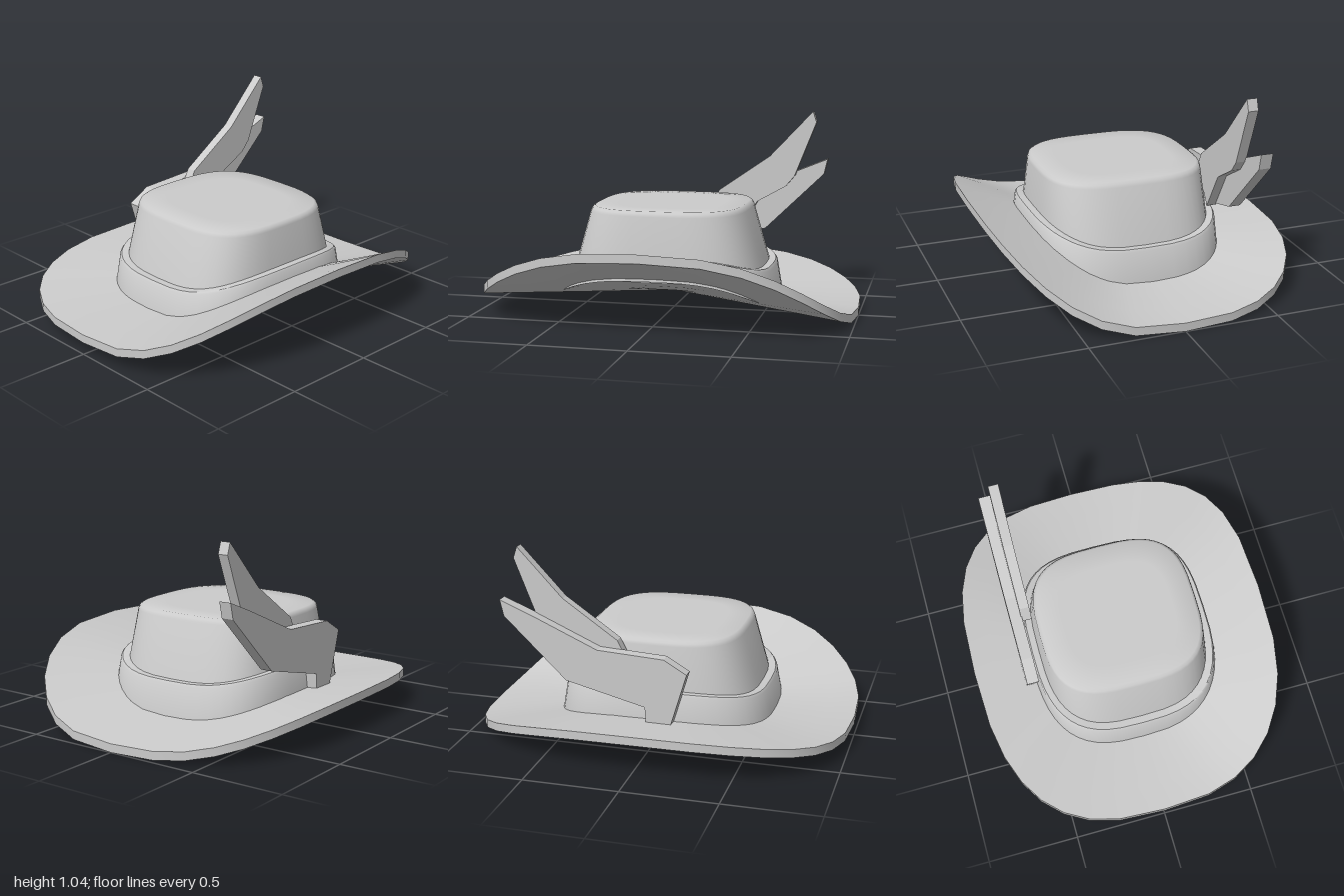
import * as THREE from 'three';
import { toCreasedNormals } from 'three/addons/utils/BufferGeometryUtils.js';

const material = new THREE.MeshStandardMaterial({ color: 0xcccccc, roughness: 0.8 });

// Rounded-square outline: unit x and z at an angle
function outline(angle, power) {
  const round = (v) => Math.sign(v) * Math.abs(v) ** (2 / power);
  return [round(Math.cos(angle)), round(Math.sin(angle))];
}

// Blend a height between the four sides of the hat
function blend(angle, { left, right, front, back }) {
  const c = Math.cos(angle), s = Math.sin(angle);
  return c * c * (c > 0 ? left : right) + s * s * (s > 0 ? front : back);
}

// Skin a stack of rings; at(ring, angle) gives a point, running up the outside
function loft(count, sides, at, crease) {
  const positions = [], index = [];
  for (let i = 0; i < count; i++) {
    for (let j = 0; j < sides; j++) positions.push(...at(i, (j / sides) * Math.PI * 2));
  }
  for (let i = 0; i < count - 1; i++) {
    for (let j = 0; j < sides; j++) {
      const k = (j + 1) % sides;
      const a = i * sides + j, b = i * sides + k, c = b + sides, d = a + sides;
      index.push(a, d, c, a, c, b);
    }
  }
  const geometry = new THREE.BufferGeometry();
  geometry.setAttribute('position', new THREE.Float32BufferAttribute(positions, 3));
  geometry.setIndex(index);
  return toCreasedNormals(geometry, crease);
}

function addMesh(group, name, geometry) {
  const mesh = new THREE.Mesh(geometry, material);
  mesh.name = name;
  group.add(mesh);
}

// Brim: a closed sheet, its left side swept high and its right side a little
function brimGeometry() {
  const rim = { left: 0.385, right: 0.165, front: 0.065, back: 0 };
  const steps = [0, 0.2, 0.4, 0.55, 0.7, 0.85, 1];
  const rings = [
    ...steps.map((r) => [r, 0]),
    ...steps.slice().reverse().map((r) => [r, 0.045]),
  ];
  return loft(rings.length, 32, (i, angle) => {
    const [r, lift] = rings[i];
    const [x, z] = outline(angle, 2.8);
    const c = Math.max(0, Math.cos(angle));
    const y = 0.09 + (blend(angle, rim) - 0.09) * r ** (1 + 0.35 * c * c);
    return [0.82 * x * r, y + lift, z * r];
  }, 0.7);
}

// Band: follows the sweep of the brim
function bandGeometry() {
  const low = { left: 0.235, right: 0.15, front: 0.1, back: 0.07 };
  const high = { left: 0.352, right: 0.325, front: 0.27, back: 0.26 };
  // half width, half depth, share of the way from low to high
  const rings = [
    [0.44, 0.5, 0], [0.51, 0.58, 0], [0.497, 0.55, 0.93],
    [0.49, 0.54, 1], [0.43, 0.48, 1],
  ];
  return loft(rings.length, 48, (i, angle) => {
    const [w, d, t] = rings[i];
    const [x, z] = outline(angle, 3);
    const y = THREE.MathUtils.lerp(blend(angle, low), blend(angle, high), t);
    return [0.01 + w * x, y, d * z];
  }, 0.8);
}

// Crown: tapered wall with a softened edge and a flat top
function crownGeometry() {
  const rings = [
    [0.463, 0.515, 0.22], [0.434, 0.417, 0.555], [0.429, 0.408, 0.572],
    [0.415, 0.394, 0.582], [0.3, 0.28, 0.583], [0, 0, 0.583],
  ];
  return loft(rings.length, 48, (i, angle) => {
    const [w, d, y] = rings[i];
    const [x, z] = outline(angle, 3.2);
    return [0.01 + w * x, y, d * z];
  }, 0.8);
}

// Feather: a side outline of [z, y] points given thickness from x0 to x1
function featherGeometry(points, x0, x1) {
  const shape = new THREE.Shape(points.map(([z, y]) => new THREE.Vector2(-z, y)));
  const geometry = new THREE.ExtrudeGeometry(shape, { depth: x1 - x0, bevelEnabled: false });
  return geometry.rotateY(Math.PI / 2).translate(x0, 0, 0);
}

export function createModel() {
  const hat = new THREE.Group();
  hat.name = 'featheredHat';

  addMesh(hat, 'brim', brimGeometry());
  addMesh(hat, 'band', bandGeometry());
  addMesh(hat, 'crown', crownGeometry());

  // Tall feather beside the crown
  addMesh(hat, 'innerFeather', featherGeometry([
    [-0.69, 1.045], [-0.71, 0.985], [-0.59, 0.68], [-0.54, 0.62], [-0.38, 0.53],
    [-0.25, 0.32], [-0.12, 0.51], [-0.16, 0.59], [-0.45, 0.79],
  ], -0.495, -0.44));

  // Shorter feather outside it, with a stem set into the brim
  addMesh(hat, 'outerFeather', featherGeometry([
    [-0.77, 0.775], [-0.75, 0.69], [-0.42, 0.37], [0, 0.265], [0.01, 0.125],
    [0.12, 0.125], [0.22, 0.46], [0.1, 0.53], [-0.25, 0.55], [-0.6, 0.705],
  ], -0.555, -0.49));

  return hat;
}
